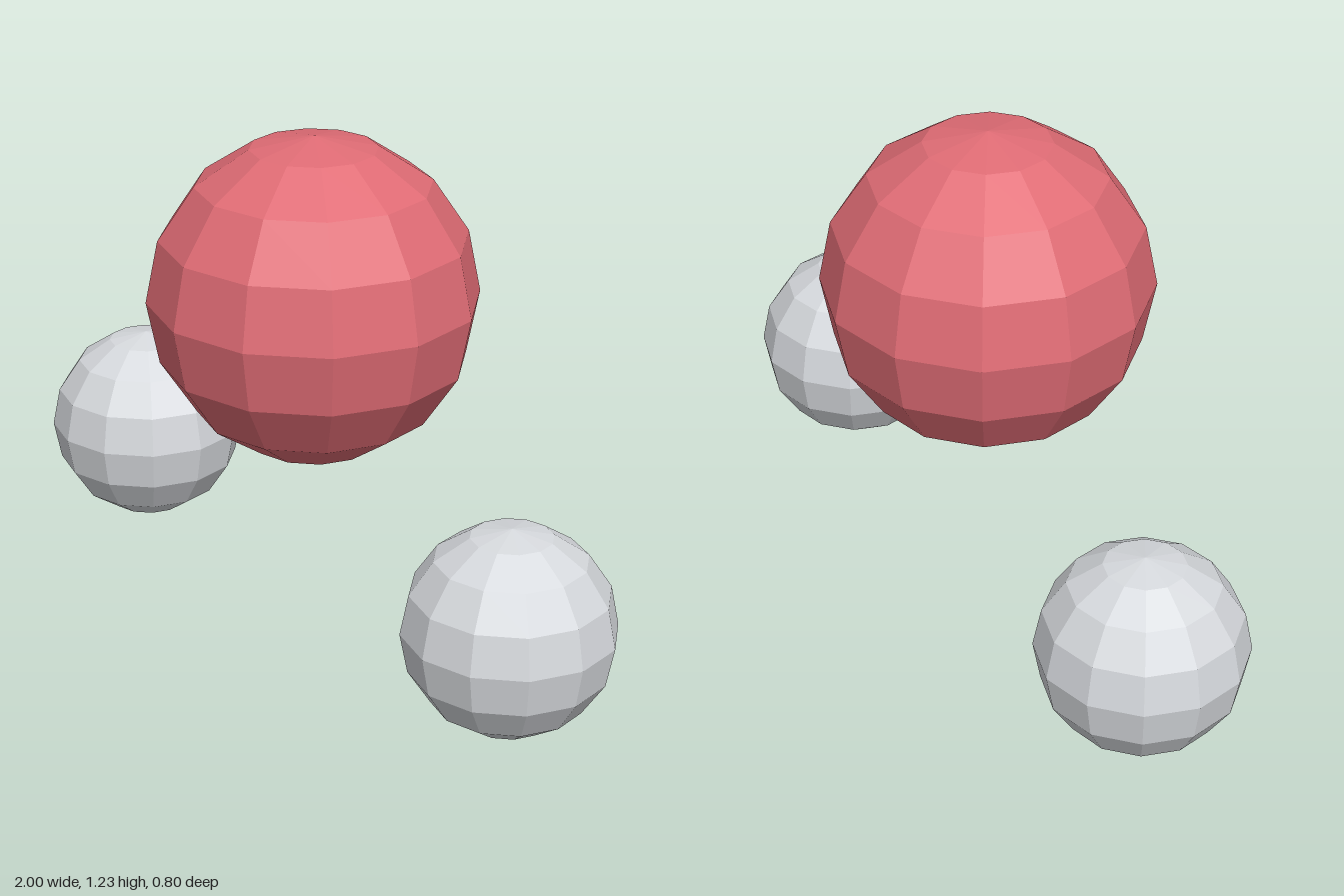
import * as THREE from 'three';

export function createModel() {
  const red = new THREE.MeshStandardMaterial({ color: 0xe06c75, flatShading: true });
  red.name = 'red';
  const paleGrey = new THREE.MeshStandardMaterial({ color: 0xd6d9dd, flatShading: true });
  paleGrey.name = 'paleGrey';

  const group = new THREE.Group();
  group.name = 'molecule';

  // Faceted ball: 12 sides around, 8 bands from pole to pole
  const addBall = (name, radius, x, y, material) => {
    const ball = new THREE.Mesh(new THREE.SphereGeometry(radius, 12, 8), material);
    ball.name = name;
    ball.position.set(x, y, 0);
    group.add(ball);
  };

  // Large central atom
  addBall('centralAtom', 0.4024, 0, 0.83, red);

  // Pair of small atoms, mirrored across x
  for (const side of [1, -1]) {
    addBall(side > 0 ? 'leftAtom' : 'rightAtom', 0.2515, side * 0.7485, 0.2525, paleGrey);
  }

  return group;
}
